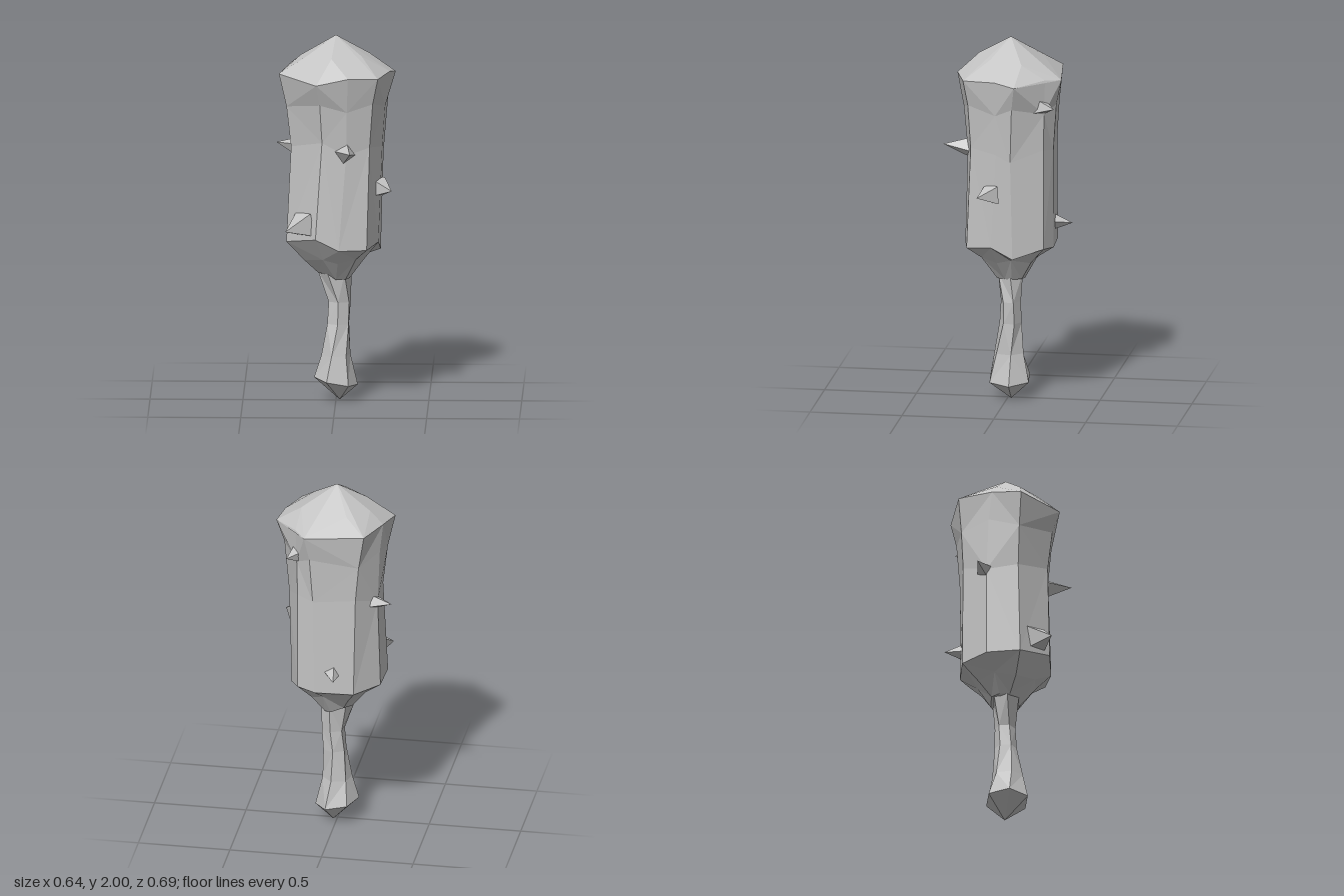
import * as THREE from 'three';
import { ConvexGeometry } from 'three/addons/geometries/ConvexGeometry.js';

const V = (p) => new THREE.Vector3(...p);

// Skin a stack of rings (bottom to top); a ring of one point closes an end.
function loft(rings) {
  const pos = [];
  const n = Math.max(...rings.map((r) => r.length));
  const at = (r, j) => r[j % r.length];
  for (let i = 0; i < rings.length - 1; i++) {
    const lo = rings[i], hi = rings[i + 1];
    for (let j = 0; j < n; j++) {
      const a = at(lo, j), b = at(lo, j + 1), c = at(hi, j + 1), d = at(hi, j);
      // Alternate diagonals for an irregular, carved look
      const tris = (i + j) % 2 ? [[a, b, c], [a, c, d]] : [[a, b, d], [b, c, d]];
      for (const t of tris) {
        if (t[0] !== t[1] && t[1] !== t[2] && t[0] !== t[2]) t.forEach((p) => pos.push(...p));
      }
    }
  }
  const g = new THREE.BufferGeometry();
  g.setAttribute('position', new THREE.Float32BufferAttribute(pos, 3));
  g.computeVertexNormals();
  return g;
}

export function createModel() {
  const group = new THREE.Group();
  const stone = new THREE.MeshStandardMaterial({ color: 0xc4c4c4, flatShading: true });
  stone.name = 'grey stone';
  const add = (name, geo) => {
    const m = new THREE.Mesh(geo, stone);
    m.name = name;
    group.add(m);
    return m;
  };

  // Head cross-sections, running left, front, right, back
  const rim = [
    [-0.305, 1.8, 0.065], [-0.1, 1.775, 0.275], [0.07, 1.81, 0.265], [0.23, 1.8, 0.21], [0.29, 1.81, 0.03],
    [0.32, 1.79, -0.08], [0.19, 1.81, -0.23], [0.13, 1.8, -0.31], [-0.19, 1.81, -0.27], [-0.265, 1.815, -0.09],
  ];
  const middle = [
    [-0.24, 1.4, 0.05], [-0.07, 1.45, 0.21], [0.06, 1.38, 0.21], [0.185, 1.42, 0.175], [0.25, 1.4, 0.03],
    [0.255, 1.36, -0.05], [0.18, 1.42, -0.22], [0.09, 1.4, -0.26], [-0.14, 1.42, -0.245], [-0.24, 1.37, -0.12],
  ];
  const low = [
    [-0.265, 0.88, 0.06], [-0.105, 0.92, 0.22], [0.02, 0.86, 0.23], [0.17, 0.86, 0.2], [0.23, 0.88, 0.06],
    [0.24, 0.82, -0.06], [0.18, 0.87, -0.22], [0.08, 0.86, -0.26], [-0.13, 0.86, -0.25], [-0.255, 0.87, -0.12],
  ];
  // Flare under the rim, and the taper into the handle
  const flare = rim.map((p, j) => V(p).lerp(V(middle[j]), 0.62).setY(1.62 + 0.04 * (j % 2)).toArray());
  const taper = low.map(([x, , z], j) => [x * 0.64, 0.775 + 0.02 * (j % 2), z * 0.64]);
  const collar = low.map(([x, , z]) => [x * 0.34 - 0.005, x < -0.1 ? 0.7 : 0.67, z * 0.32 - 0.012]);
  add('clubHead', loft([[[0, 0.67, -0.015]], collar, taper, low, middle, flare, rim]));

  // Pointed cap
  const cap = [
    ...rim, [0, 2, -0.015],
    [-0.15, 1.9, 0.06], [-0.02, 1.9, 0.16], [0.14, 1.9, 0.075],
    [0.18, 1.885, -0.1], [-0.08, 1.885, -0.18], [-0.19, 1.88, -0.07],
  ];
  add('cap', new ConvexGeometry(cap.map(V)));

  // Six-sided twisting handle with a swollen pommel: y, centre x, centre z, radius x, radius z, twist
  const sections = [
    [0.105, 0, -0.008, 0.118, 0.122, 0.1],
    [0.25, 0, -0.005, 0.08, 0.085, 0.25],
    [0.42, 0.012, -0.015, 0.066, 0.06, 0.5],
    [0.54, 0.02, -0.018, 0.064, 0.056, 0.4],
    [0.7, -0.005, -0.015, 0.09, 0.077, 0.1],
  ];
  const rings = sections.map(([y, cx, cz, rx, rz, twist]) =>
    Array.from({ length: 6 }, (_, j) => {
      const t = (j / 6) * Math.PI * 2 + twist;
      return [cx - Math.cos(t) * rx, y + (y < 0.2 ? 0.022 * Math.cos(t) : 0), cz + Math.sin(t) * rz];
    }));
  add('handle', loft([[[0.02, 0, -0.02]], ...rings]));

  // Four-sided spikes: base centre, tip, base radius
  const spikes = [
    [[-0.22, 1.37, -0.13], [-0.325, 1.38, -0.17], 0.045],
    [[0.05, 1.39, 0.18], [0.082, 1.41, 0.34], 0.065],
    [[0.225, 1.18, 0.05], [0.303, 1.17, 0.125], 0.07],
    [[-0.16, 0.99, 0.14], [-0.267, 0.965, 0.23], 0.09],
    [[-0.01, 0.98, -0.23], [-0.035, 0.97, -0.345], 0.05],
    [[0.17, 1.66, -0.19], [0.23, 1.66, -0.285], 0.06],
  ];
  for (const [base, tip, r] of spikes) {
    const dir = V(tip).sub(V(base));
    const h = dir.length();
    const m = add('spike', new THREE.ConeGeometry(r, h, 4).translate(0, h / 2, 0));
    m.position.set(...base);
    m.quaternion.setFromUnitVectors(new THREE.Vector3(0, 1, 0), dir.normalize());
  }
  return group;
}
